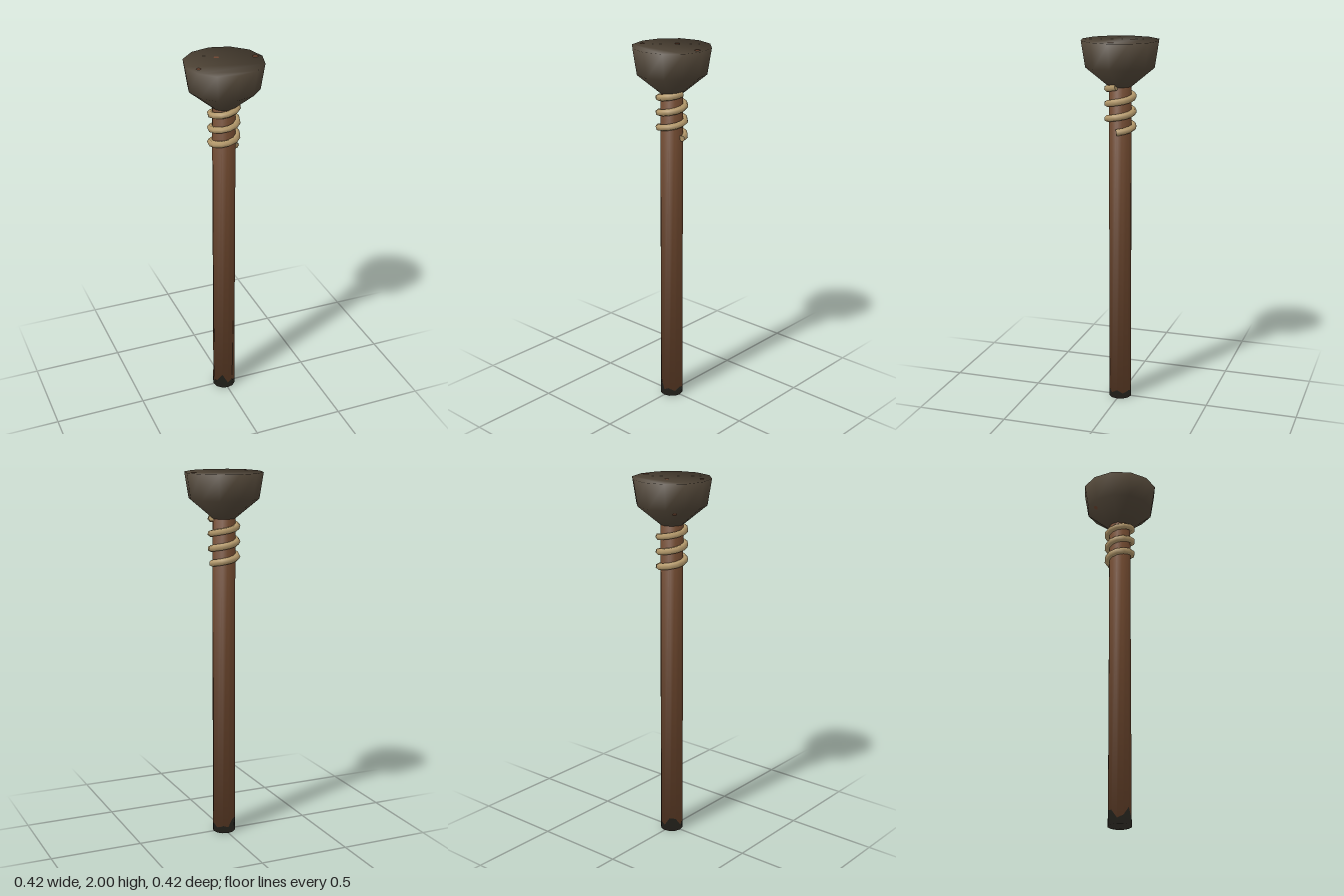
import * as THREE from 'three';

const SIDES = 12;
const material = (name, color) => {
  const m = new THREE.MeshStandardMaterial({ color });
  m.name = name;
  return m;
};

// Closed solid from rings listed bottom to top: { r, y, tilt } with tilt the
// elevation of the smooth normals in degrees; y may be a function of the side.
function ringSolid(rings) {
  const pos = [], nor = [], index = [];
  for (const { r, y, tilt } of rings) {
    const t = THREE.MathUtils.degToRad(tilt);
    for (let k = 0; k < SIDES; k++) {
      const a = (k / SIDES) * Math.PI * 2;
      pos.push(r * Math.sin(a), typeof y === 'function' ? y(k) : y, r * Math.cos(a));
      nor.push(Math.cos(t) * Math.sin(a), Math.sin(t), Math.cos(t) * Math.cos(a));
    }
  }
  for (let j = 0; j < rings.length - 1; j++) {
    for (let k = 0; k < SIDES; k++) {
      const a = j * SIDES + k, b = j * SIDES + (k + 1) % SIDES;
      index.push(a, b, b + SIDES, a, b + SIDES, a + SIDES);
    }
  }
  // Flat ends share the rim vertices, so they shade softly with the sides
  const top = (rings.length - 1) * SIDES;
  const cap = (a, b, c) => index.push(top + a, top + b, top + c, a, c, b);
  let lo = 0, hi = SIDES - 1;
  while (hi - lo > 1) {
    cap(lo, lo + 1, hi);
    lo++;
    if (hi - lo > 1) {
      cap(lo, hi - 1, hi);
      hi--;
    }
  }
  const g = new THREE.BufferGeometry();
  g.setAttribute('position', new THREE.Float32BufferAttribute(pos, 3));
  g.setAttribute('normal', new THREE.Float32BufferAttribute(nor, 3));
  g.setIndex(index);
  return g;
}

export function createModel() {
  const model = new THREE.Group();
  model.name = 'torch';
  const wood = material('brown wood', 0x70492f);
  const iron = material('dark iron', 0x4f4436);
  const ropeMat = material('tan rope', 0xb59a6c);
  const rust = material('rust', 0x6e4530);
  const char = material('charred wood', 0x35322a);

  const add = (name, geometry, mat) => {
    const mesh = new THREE.Mesh(geometry, mat);
    mesh.name = name;
    model.add(mesh);
    return mesh;
  };

  // Long handle
  add('handle', ringSolid([
    { r: 0.062, y: 0.002, tilt: -50 },
    { r: 0.061, y: 1.77, tilt: 25 },
  ]), wood);

  // Charred foot with an uneven upper edge
  const edge = [0.03, 0.045, 0.03, 0.05, 0.03, 0.04, 0.03, 0.08, 0.075, 0.03, 0.045, 0.09];
  add('charredFoot', ringSolid([
    { r: 0.063, y: 0, tilt: -50 },
    { r: 0.063, y: (k) => edge[k], tilt: -46 },
  ]), char);

  // Faceted bowl with a flat top
  add('bowl', ringSolid([
    { r: 0.06, y: 1.755, tilt: -50 },
    { r: 0.187, y: 1.86, tilt: -25 },
    { r: 0.209, y: 1.998, tilt: 32 },
  ]), iron);

  // Rope wound three times around the neck
  const steps = 36, points = [];
  for (let i = 0; i <= steps; i++) {
    const t = i / steps, a = Math.PI / 2 + t * Math.PI * 6;
    points.push(new THREE.Vector3(0.07 * Math.sin(a), 1.52 + 0.24 * t, 0.07 * Math.cos(a)));
  }
  add('ropeWrap', new THREE.TubeGeometry(new THREE.CatmullRomCurve3(points), steps, 0.018, 6), ropeMat);

  // Rope ends
  for (const [p, q] of [[points[0], points[1]], [points[steps], points[steps - 1]]]) {
    const end = add('ropeEnd', new THREE.CircleGeometry(0.018, 6), ropeMat);
    end.position.copy(p);
    end.lookAt(p.clone().multiplyScalar(2).sub(q));
  }

  // Rust spots on the top
  for (const [x, z, r] of [[-0.017, -0.06, 0.014], [0.172, -0.003, 0.016], [-0.155, 0.055, 0.012]]) {
    const spot = add('rustSpot', new THREE.CircleGeometry(r, 8), rust);
    spot.rotation.x = -Math.PI / 2;
    spot.position.set(x, 2, z);
  }

  // Rust spot on the lower side of the bowl
  const spot = add('rustSpot', new THREE.CircleGeometry(0.013, 8), rust);
  const out = new THREE.Vector3(-Math.SQRT1_2, 0, -Math.SQRT1_2);
  const normal = out.clone().multiplyScalar(0.105).add(new THREE.Vector3(0, -0.123, 0)).normalize();
  spot.position.copy(out).multiplyScalar(0.157).setY(1.84).addScaledVector(normal, 0.004);
  spot.lookAt(spot.position.clone().add(normal));

  return model;
}
